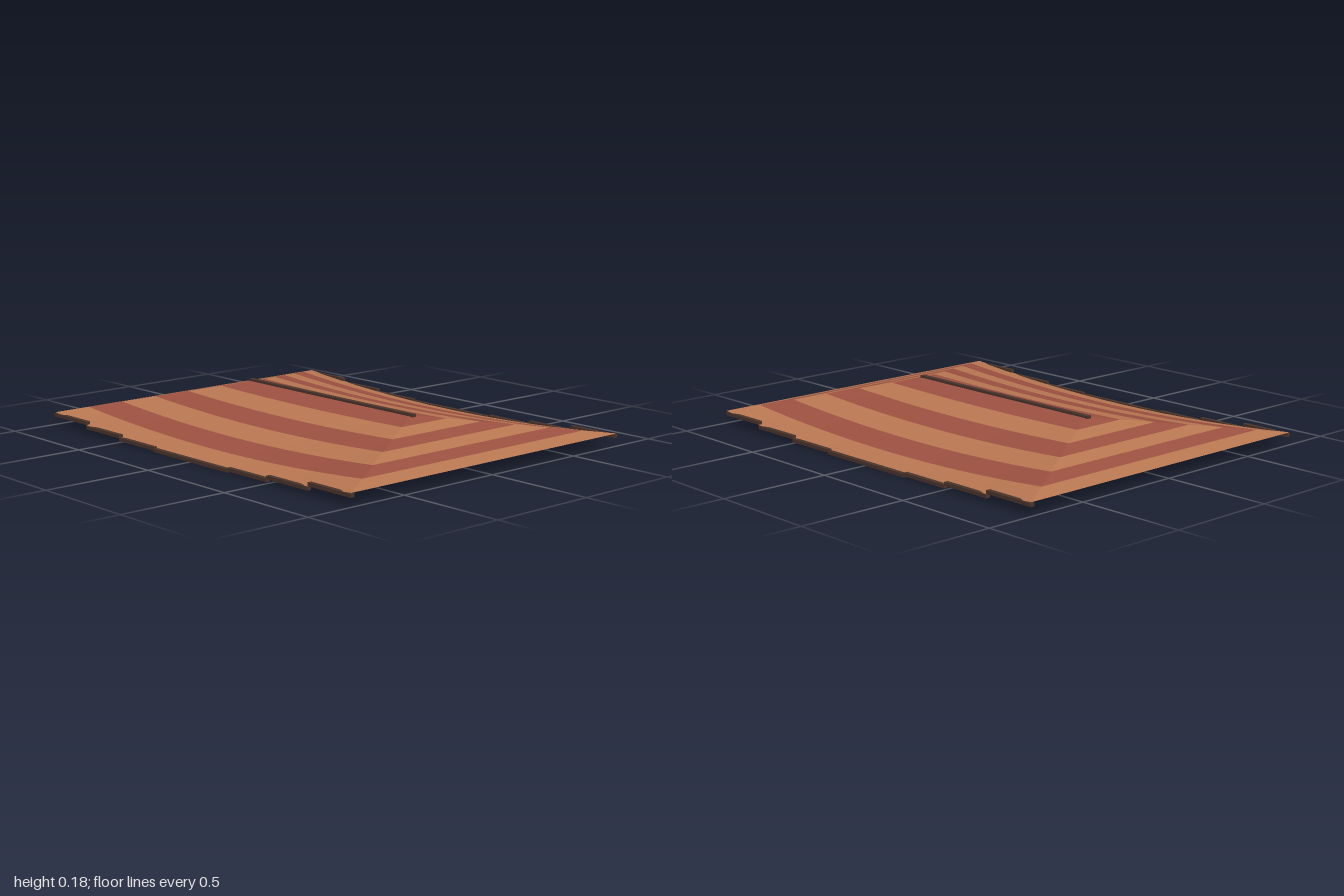
import * as THREE from 'three';

const RINGS = 6, SEGS = 16;
const RIDGE_X = 0.52, HALF_X = 1, HALF_Z = 0.78;
const RIDGE_Y = 0.172, EAVE_Y = 0.057, SAG = 0.05;

const sag = (u) => SAG * (1 - u * u);
const halfWidth = (t) => RIDGE_X + (HALF_X - RIDGE_X) * t;
const hipHeight = (t) => RIDGE_Y + (EAVE_Y - RIDGE_Y) * t;

// Long slope: t runs from ridge to eave, u from one hip to the other
const longSlope = (side) => (t, u) =>
  [side * u * halfWidth(t), hipHeight(t) - t * sag(u), side * HALF_Z * t];

// Short hip end: straight from corner to corner
const hipEnd = (side) => (t, u) =>
  [side * halfWidth(t), hipHeight(t), -side * u * HALF_Z * t];

// One tile course between t0 and t1 of a slope
function courseGeometry(slope, t0, t1) {
  const pos = [], index = [];
  for (let i = 0; i <= SEGS; i++) {
    const u = -1 + (2 * i) / SEGS;
    pos.push(...slope(t0, u), ...slope(t1, u));
    if (i < SEGS) {
      const a = 2 * i;
      index.push(a, a + 1, a + 2, a + 2, a + 1, a + 3);
    }
  }
  const g = new THREE.BufferGeometry();
  g.setAttribute('position', new THREE.Float32BufferAttribute(pos, 3));
  g.setIndex(index);
  g.computeVertexNormals();
  return g;
}

export function createModel() {
  const root = new THREE.Group();
  root.name = 'hipRoof';
  const tile = (color) => new THREE.MeshStandardMaterial({ color, side: THREE.DoubleSide });
  const red = tile(0x9b5040), tan = tile(0xb87651);
  const wood = new THREE.MeshStandardMaterial({ color: 0x4a342a });

  // Four slopes in alternating tile courses
  const slopes = {
    frontSlope: longSlope(1), backSlope: longSlope(-1),
    leftHip: hipEnd(1), rightHip: hipEnd(-1),
  };
  for (const [name, slope] of Object.entries(slopes)) {
    const group = new THREE.Group();
    group.name = name;
    for (let r = 0; r < RINGS; r++) {
      const course = new THREE.Mesh(
        courseGeometry(slope, r / RINGS, (r + 1) / RINGS), r % 2 ? tan : red);
      course.name = 'tileCourse';
      group.add(course);
    }
    root.add(group);
  }

  const addBeam = (name, w, h, d, x, y, z) => {
    const beam = new THREE.Mesh(new THREE.BoxGeometry(w, h, d), wood);
    beam.name = name;
    beam.position.set(x, y, z);
    root.add(beam);
  };

  // Ridge beam
  addBeam('ridgeBeam', 1.08, 0.016, 0.024, 0, RIDGE_Y, 0);

  // Level eave boards stepping along the sagging front and back edges
  for (const side of [1, -1]) {
    for (let i = 0; i < 8; i++) {
      const x = -0.875 + i * 0.25;
      addBeam('eaveBoard', 0.25, 0.015, 0.02, x, EAVE_Y - sag(x), side * 0.775);
    }
  }
  return root;
}
